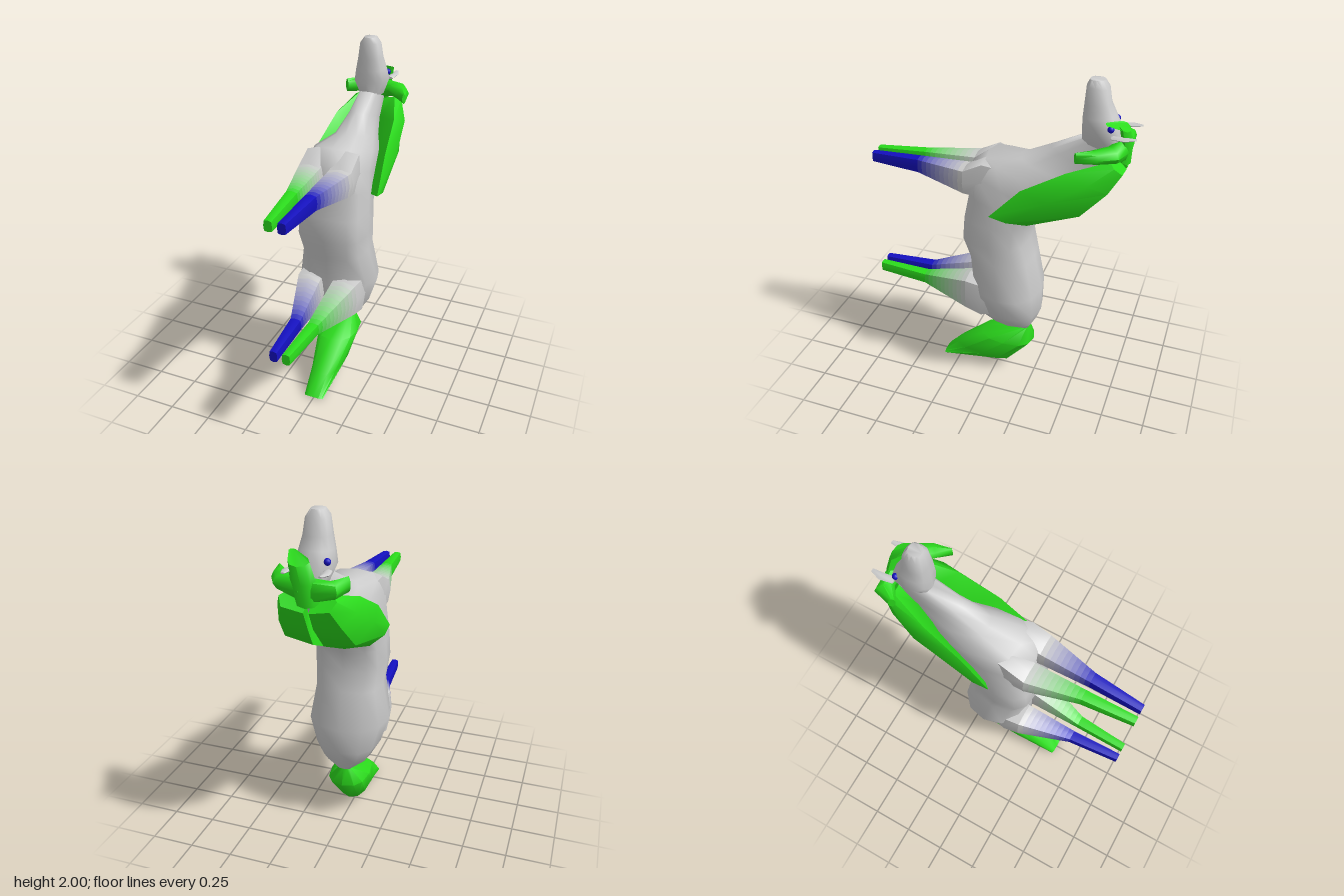
import * as THREE from 'three';
import { toCreasedNormals } from 'three/addons/utils/BufferGeometryUtils.js';

const GREY = 0xcccccc, GREEN = 0x2bdc1c, BLUE = 0x1410c0;

// closed cross-section around centre c, spanned by half-axes u and v; smaller p is squarer
function ring(c, u, v, n, p) {
  const bulge = (t) => Math.sign(t) * Math.abs(t) ** p;
  const pts = [];
  for (let i = 0; i < n; i++) {
    const a = (i / n) * Math.PI * 2;
    const s = bulge(Math.cos(a)), t = bulge(Math.sin(a));
    pts.push([0, 1, 2].map((k) => c[k] + u[k] * s + v[k] * t));
  }
  return pts;
}

// symmetric section from front point, back point (z, y), half width and squareness
const section = ([fz, fy, bz, by, w, p]) =>
  ring([0, (fy + by) / 2, (fz + bz) / 2], [0, (fy - by) / 2, (fz - bz) / 2], [w, 0, 0], 12, p);

// skin a list of equal rings and close both ends
function loft(name, rings, color, crease = 1.0) {
  const n = rings[0].length;
  const pos = rings.flat(2), idx = [];
  for (let r = 0; r < rings.length - 1; r++) {
    for (let i = 0; i < n; i++) {
      const a = r * n + i, b = r * n + ((i + 1) % n);
      idx.push(a, b, a + n, b, b + n, a + n);
    }
  }
  const last = (rings.length - 1) * n;
  for (let i = 1; i < n - 1; i++) idx.push(0, i + 1, i, last, last + i, last + i + 1);
  // turn the skin outwards if its volume is negative
  const P = (i) => new THREE.Vector3().fromArray(pos, i * 3);
  let volume = 0;
  for (let i = 0; i < idx.length; i += 3) volume += P(idx[i]).dot(P(idx[i + 1]).cross(P(idx[i + 2])));
  if (volume < 0) idx.reverse();
  const geo = new THREE.BufferGeometry();
  geo.setAttribute('position', new THREE.Float32BufferAttribute(pos, 3));
  geo.setIndex(idx);
  const mesh = new THREE.Mesh(toCreasedNormals(geo, crease), new THREE.MeshStandardMaterial({ color }));
  mesh.name = name;
  return mesh;
}

// leg along +z from [z, x, y, halfX, halfY] stations, fading from grey to its colour
function leg(name, stations, side, color) {
  const group = new THREE.Group();
  group.name = name;
  const make = ([z, x, y, hx, hy]) => ring([side * x, y, z], [hx, 0, 0], [0, hy, 0], 8, 0.5);
  const [root, shoulder, hip, knee, hoof] = stations;
  const mix = (t) => hip.map((h, k) => h + (knee[k] - h) * t);
  const tint = (t) => new THREE.Color(GREY).lerp(new THREE.Color(color), t);
  group.add(loft('legRoot', [root, shoulder, hip].map(make), GREY));
  const bands = 10;
  for (let i = 0; i < bands; i++) {
    group.add(loft('upperLeg', [mix(i / bands), mix((i + 1) / bands)].map(make), tint((i + 0.5) / bands)));
  }
  group.add(loft('lowerLeg', [knee, hoof].map(make), color));
  return group;
}

// tuft of hair through points [x, y, z, halfWidth, halfThickness]
function tuft(name, points, wide, thick) {
  return loft(name, points.map(([x, y, z, w, t]) =>
    ring([x, y, z], wide.map((k) => k * w), thick.map((k) => k * t), 8, 1)), GREEN);
}

export function createModel() {
  const model = new THREE.Group();
  model.name = 'rearingHorse';

  // trunk and neck
  model.add(loft('body', [
    [-0.17, 0.35, -0.21, 0.35, 0.04, 0.8],
    [0.02, 0.43, -0.25, 0.42, 0.14, 0.75],
    [0.13, 0.52, -0.28, 0.5, 0.19, 0.8],
    [0.13, 0.69, -0.28, 0.65, 0.24, 0.9],
    [0.14, 0.87, -0.23, 0.88, 0.19, 0.65],
    [0.18, 1.0, -0.2, 1.0, 0.2, 0.6],
    [0.17, 1.14, -0.21, 1.12, 0.195, 0.6],
    [0.14, 1.3, -0.24, 1.2, 0.185, 0.6],
    [0.14, 1.45, -0.3, 1.27, 0.17, 0.55],
    [0.05, 1.52, -0.42, 1.36, 0.15, 0.6],
    [-0.14, 1.53, -0.52, 1.42, 0.1, 0.7],
    [-0.3, 1.61, -0.6, 1.5, 0.07, 0.7],
    [-0.46, 1.69, -0.68, 1.6, 0.06, 0.7],
  ].map(section), GREY));

  // head with the muzzle pointing up
  model.add(loft('head', [
    [-0.46, 1.67, -0.67, 1.63, 0.06, 0.8],
    [-0.46, 1.74, -0.67, 1.74, 0.1, 0.8],
    [-0.46, 1.81, -0.63, 1.82, 0.085, 0.75],
    [-0.465, 1.88, -0.6, 1.88, 0.07, 0.7],
    [-0.47, 1.97, -0.585, 1.96, 0.058, 0.7],
    [-0.485, 2.0, -0.56, 2.0, 0.035, 0.7],
  ].map(section), GREY));

  const foreStations = [
    [-0.16, 0.07, 1.38, 0.04, 0.08],
    [0.04, 0.085, 1.395, 0.078, 0.12],
    [0.15, 0.09, 1.372, 0.075, 0.08],
    [0.45, 0.054, 1.386, 0.036, 0.046],
    [0.75, 0.037, 1.38, 0.024, 0.032],
  ];
  const hindStations = [
    [-0.16, 0.1, 0.62, 0.06, 0.08],
    [0.04, 0.11, 0.615, 0.095, 0.125],
    [0.14, 0.108, 0.627, 0.085, 0.115],
    [0.45, 0.054, 0.602, 0.036, 0.037],
    [0.76, 0.037, 0.603, 0.024, 0.034],
  ];

  // mane lobe sections: front edge, outer face, outer back, back edge, inner face
  const lobe = [
    [[0.12, 1.62, -0.64], [0.155, 1.6, -0.67], [0.13, 1.56, -0.71], [0.015, 1.54, -0.71], [0.01, 1.59, -0.66]],
    [[0.19, 1.55, -0.43], [0.22, 1.51, -0.55], [0.17, 1.46, -0.65], [0.015, 1.44, -0.66], [0.06, 1.52, -0.54]],
    [[0.22, 1.42, -0.2], [0.245, 1.38, -0.34], [0.2, 1.32, -0.52], [0.03, 1.31, -0.56], [0.11, 1.39, -0.38]],
    [[0.24, 1.24, -0.03], [0.24, 1.22, -0.13], [0.18, 1.19, -0.23], [0.03, 1.16, -0.25], [0.16, 1.22, -0.12]],
  ];

  for (const side of [1, -1]) {
    const label = side > 0 ? 'left' : 'right';
    model.add(leg(label + 'FrontLeg', foreStations, side, side > 0 ? BLUE : GREEN));
    model.add(leg(label + 'HindLeg', hindStations, side, side > 0 ? GREEN : BLUE));

    const scale = side > 0 ? 1 : -0.91;
    model.add(loft(label + 'Mane', lobe.map((r) => r.map(([x, y, z]) => [x * scale, y, z])), GREEN));

    // thin ears pointing backwards
    model.add(loft(label + 'Ear', [
      [0.085, 1.735, -0.63, 0.02], [0.098, 1.74, -0.7, 0.022], [0.092, 1.745, -0.755, 0.01],
    ].map(([x, y, z, w]) => ring([side * x, y, z], [w, 0, 0], [0, w * 0.4, 0], 8, 1)), GREY));

    const eye = new THREE.Mesh(new THREE.SphereGeometry(0.018, 10, 8), new THREE.MeshStandardMaterial({ color: BLUE }));
    eye.name = label + 'Eye';
    eye.position.set(side * 0.078, 1.775, -0.622);
    model.add(eye);
  }

  // forelock and side tufts
  model.add(tuft('forelock', [
    [0, 1.59, -0.69, 0.06, 0.04],
    [0.015, 1.7, -0.7, 0.065, 0.035],
    [0.04, 1.785, -0.685, 0.055, 0.035],
    [0.1, 1.81, -0.61, 0.02, 0.012],
  ], [1, 0, 0], [0, 0.5, 0.87]));
  model.add(tuft('leftTuft', [
    [0.0, 1.65, -0.69, 0.05, 0.065],
    [0.13, 1.665, -0.65, 0.06, 0.04],
    [0.19, 1.665, -0.57, 0.045, 0.035],
    [0.228, 1.665, -0.485, 0.012, 0.03],
  ], [0.7, 0, -0.7], [0, 1, 0]));
  model.add(tuft('rightTuft', [
    [0.0, 1.65, -0.69, 0.05, 0.065],
    [-0.12, 1.66, -0.68, 0.055, 0.045],
    [-0.175, 1.67, -0.6, 0.02, 0.04],
  ], [0.7, 0, 0.7], [0, 1, 0]));

  // tail sweeping down and forwards
  model.add(loft('tail', [
    [-0.17, 0.35, -0.21, 0.35, 0.04, 0.8],
    [0.09, 0.26, -0.24, 0.25, 0.12, 0.8],
    [0.27, 0.12, -0.1, 0.07, 0.085, 0.8],
    [0.355, 0.01, 0.335, 0.0, 0.06, 0.8],
  ].map(section), GREEN));

  return model;
}
